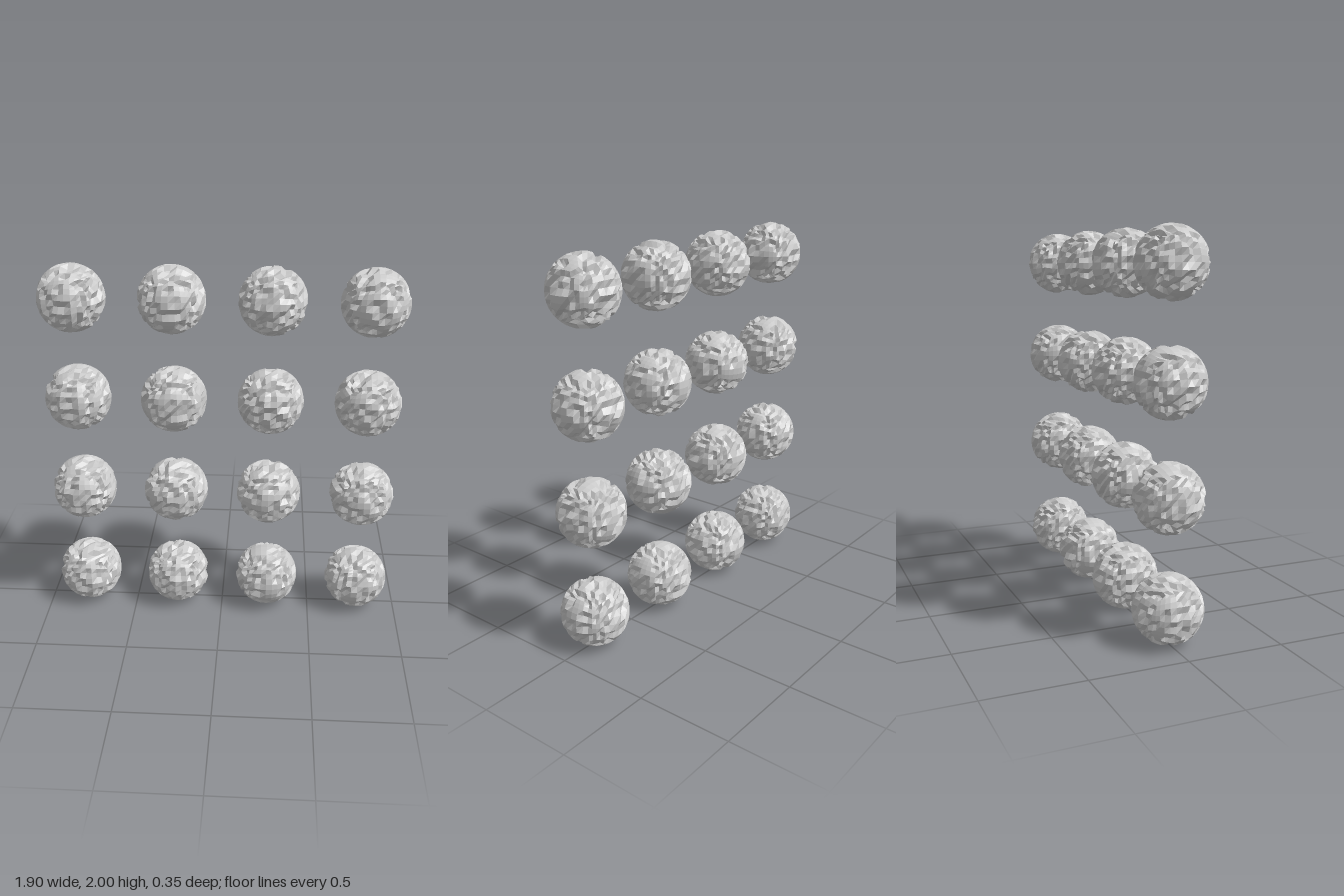
import * as THREE from 'three';

const COLUMNS = 4, ROWS = 4;
const RADIUS = 0.177, DEPTH = 0.023, SEGMENTS = 10;
const STEP_X = 0.515, STEP_Y = (2 - 2 * RADIUS) / (ROWS - 1);

// Repeatable value 0..1 from a lattice corner, the same for every face sharing it
function hash(x, y, z, seed) {
  let h = Math.imul(x + 31, 374761393) ^ Math.imul(y + 57, 668265263) ^
    Math.imul(z + 83, 1274126177) ^ Math.imul(seed + 1, 974634777);
  h = Math.imul(h ^ (h >>> 15), 2246822519);
  h = Math.imul(h ^ (h >>> 13), 3266489917);
  return ((h ^ (h >>> 16)) >>> 0) / 4294967296;
}

// Gridded cube rounded into a ball, with random corners sunk to leave raised plates and pits
function rockGeometry(seed) {
  const geometry = new THREE.BoxGeometry(2, 2, 2, SEGMENTS, SEGMENTS, SEGMENTS);
  const pos = geometry.attributes.position;
  const p = new THREE.Vector3();
  for (let i = 0; i < pos.count; i++) {
    p.fromBufferAttribute(pos, i);
    const c = p.toArray().map((v) => Math.round(v * SEGMENTS / 2));
    const sunk = hash(...c, seed) < 0.38 ? 0.5 + 0.5 * hash(...c, seed + 100) : 0;
    p.normalize().multiplyScalar(RADIUS - DEPTH * sunk);
    pos.setXYZ(i, p.x, p.y, p.z);
  }
  geometry.computeVertexNormals();
  return geometry;
}

export function createModel() {
  const group = new THREE.Group();
  group.name = 'rockBalls';
  const material = new THREE.MeshStandardMaterial({ color: 0xcccccc, flatShading: true });

  // Upright grid of balls, each with its own pattern
  for (let row = 0; row < ROWS; row++) {
    for (let col = 0; col < COLUMNS; col++) {
      const ball = new THREE.Mesh(rockGeometry(row * COLUMNS + col), material);
      ball.name = `rockBall_row${row + 1}_column${col + 1}`;
      ball.position.set((col - (COLUMNS - 1) / 2) * STEP_X, RADIUS + row * STEP_Y, 0);
      group.add(ball);
    }
  }
  return group;
}
